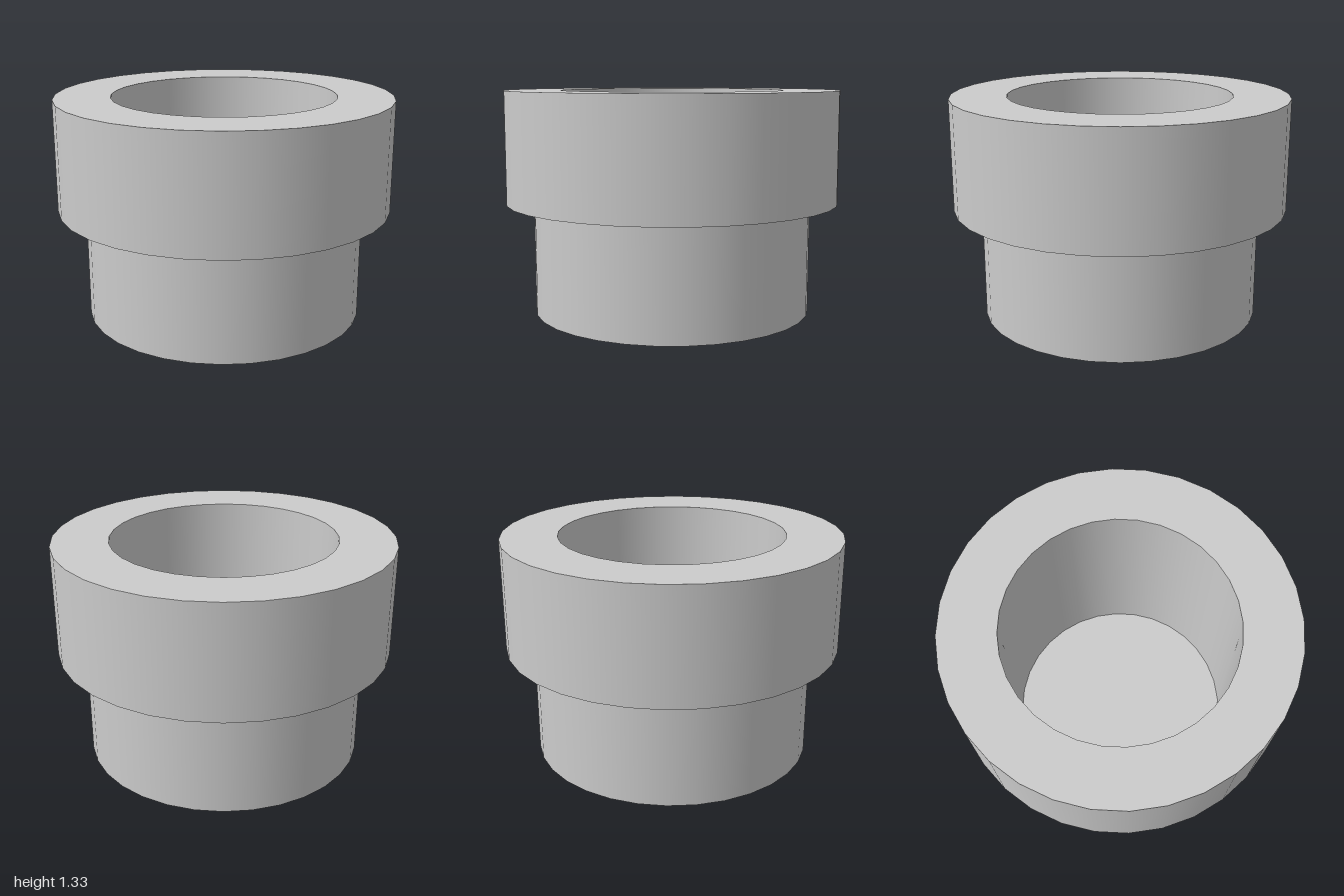
import * as THREE from 'three';

const SEGMENTS = 32;
const BORE = 0.667, NECK = 0.835, COLLAR = 1;
const STEP = 0.667, TOP = 1.333;

export function createModel() {
  const group = new THREE.Group();
  // Thin shells are seen from both sides
  const material = new THREE.MeshStandardMaterial({ color: 0xcccccc, side: THREE.DoubleSide });

  const add = (name, geometry, y) => {
    const mesh = new THREE.Mesh(geometry, material);
    mesh.name = name;
    mesh.position.y = y;
    group.add(mesh);
    return mesh;
  };
  const wall = (name, radius, y0, y1) =>
    add(name, new THREE.CylinderGeometry(radius, radius, y1 - y0, SEGMENTS, 1, true), (y0 + y1) / 2);
  const ring = (name, inner, outer, y, tilt) => {
    add(name, new THREE.RingGeometry(inner, outer, SEGMENTS), y).rotation.x = tilt;
  };

  // Wide upper collar
  wall('collarWall', COLLAR, STEP, TOP);
  ring('collarTop', BORE, COLLAR, TOP, -Math.PI / 2);
  ring('collarUnderside', BORE, COLLAR, STEP, Math.PI / 2);

  // Narrower lower neck, open underneath around the inner cup
  wall('neckWall', NECK, 0, STEP);

  // Inner cup: full-height bore wall closed by a floor
  wall('boreWall', BORE, 0, TOP);
  add('boreFloor', new THREE.CircleGeometry(BORE, SEGMENTS), 0).rotation.x = Math.PI / 2;

  return group;
}
